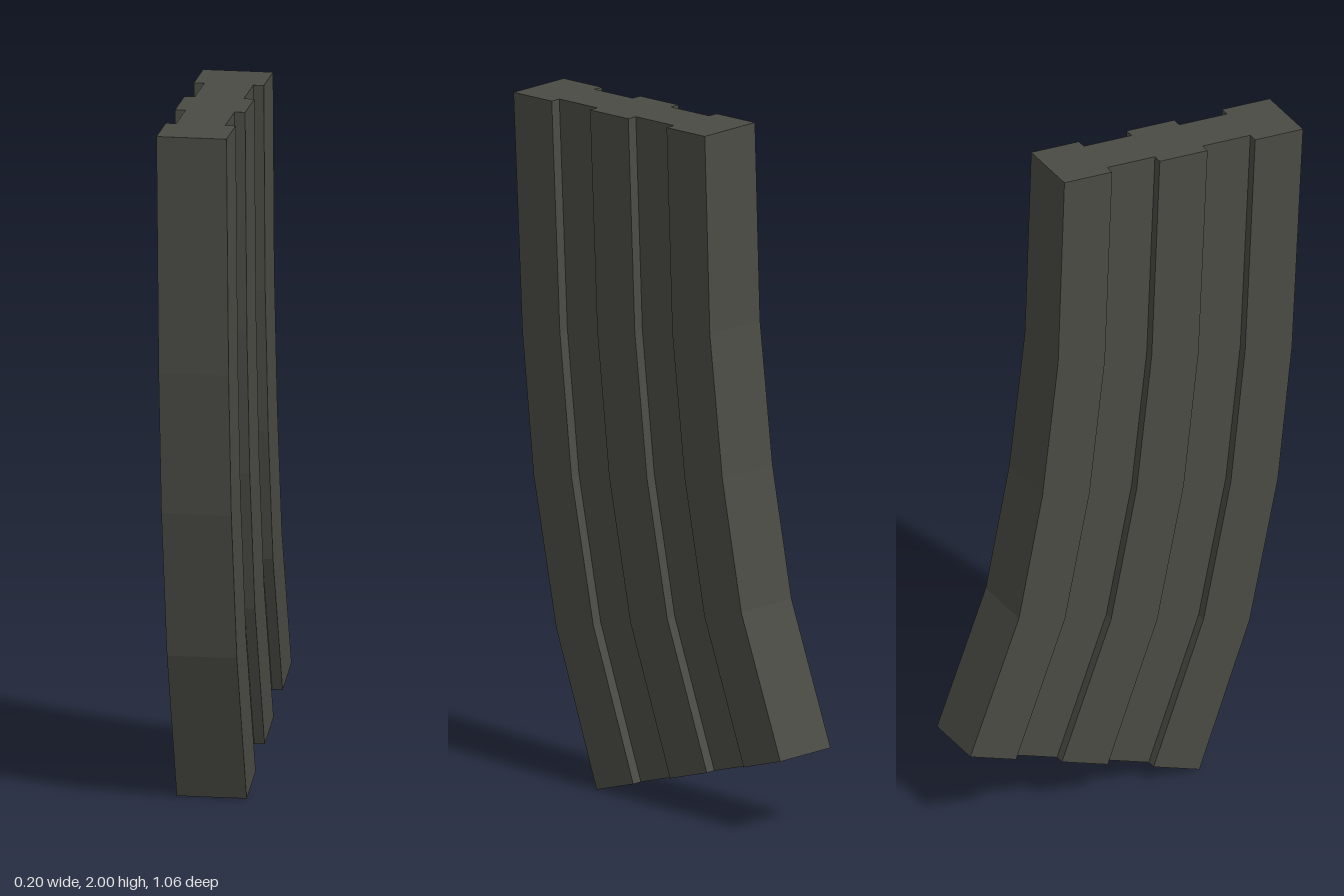
import * as THREE from 'three';

// Front and back edges of the curve as [z, y], top to bottom
const FRONT = [[0.53, 1.975], [0.495, 1.285], [0.45, 0.87], [0.36, 0.44], [0.2, 0]];
const BACK = [[-0.23, 2], [-0.25, 1.425], [-0.3, 1.01], [-0.375, 0.635], [-0.53, 0.23]];

// Half-widths of the five equal bands from front to back; narrow ones are grooves
const BANDS = [0.1, 0.07, 0.1, 0.07, 0.1];

export function createModel() {
  const group = new THREE.Group();
  const darkMetal = new THREE.MeshStandardMaterial({ color: 0x4b4b45 });
  darkMetal.name = 'darkMetal';

  // Point at half-width x, fraction t from front to back, on section k
  const point = (k, x, t) => [
    x,
    THREE.MathUtils.lerp(FRONT[k][1], BACK[k][1], t),
    THREE.MathUtils.lerp(FRONT[k][0], BACK[k][0], t),
  ];
  const positions = [];
  const quad = (a, b, c, d) => positions.push(...a, ...b, ...c, ...a, ...c, ...d);

  // Grooved outline: left side front to back, then the right side mirrored
  const left = BANDS.flatMap((w, i) => [[w, i / 5], [w, (i + 1) / 5]]);
  const outline = [...left, ...left.map(([x, t]) => [-x, t]).reverse()];

  // Walls between neighbouring sections
  const last = FRONT.length - 1;
  for (let k = 0; k < last; k++) {
    outline.forEach((p, i) => {
      const q = outline[(i + 1) % outline.length];
      quad(point(k + 1, ...p), point(k + 1, ...q), point(k, ...q), point(k, ...p));
    });
  }

  // Top and bottom caps, band by band
  BANDS.forEach((w, i) => {
    const corners = [[w, i / 5], [w, (i + 1) / 5], [-w, (i + 1) / 5], [-w, i / 5]];
    quad(...corners.map((c) => point(0, ...c)));
    quad(...corners.map((c) => point(last, ...c)).reverse());
  });

  const geometry = new THREE.BufferGeometry();
  geometry.setAttribute('position', new THREE.Float32BufferAttribute(positions, 3));
  geometry.computeVertexNormals(); // unshared corners give flat facets

  const body = new THREE.Mesh(geometry, darkMetal);
  body.name = 'curvedGroovedBody';
  group.add(body);
  return group;
}
